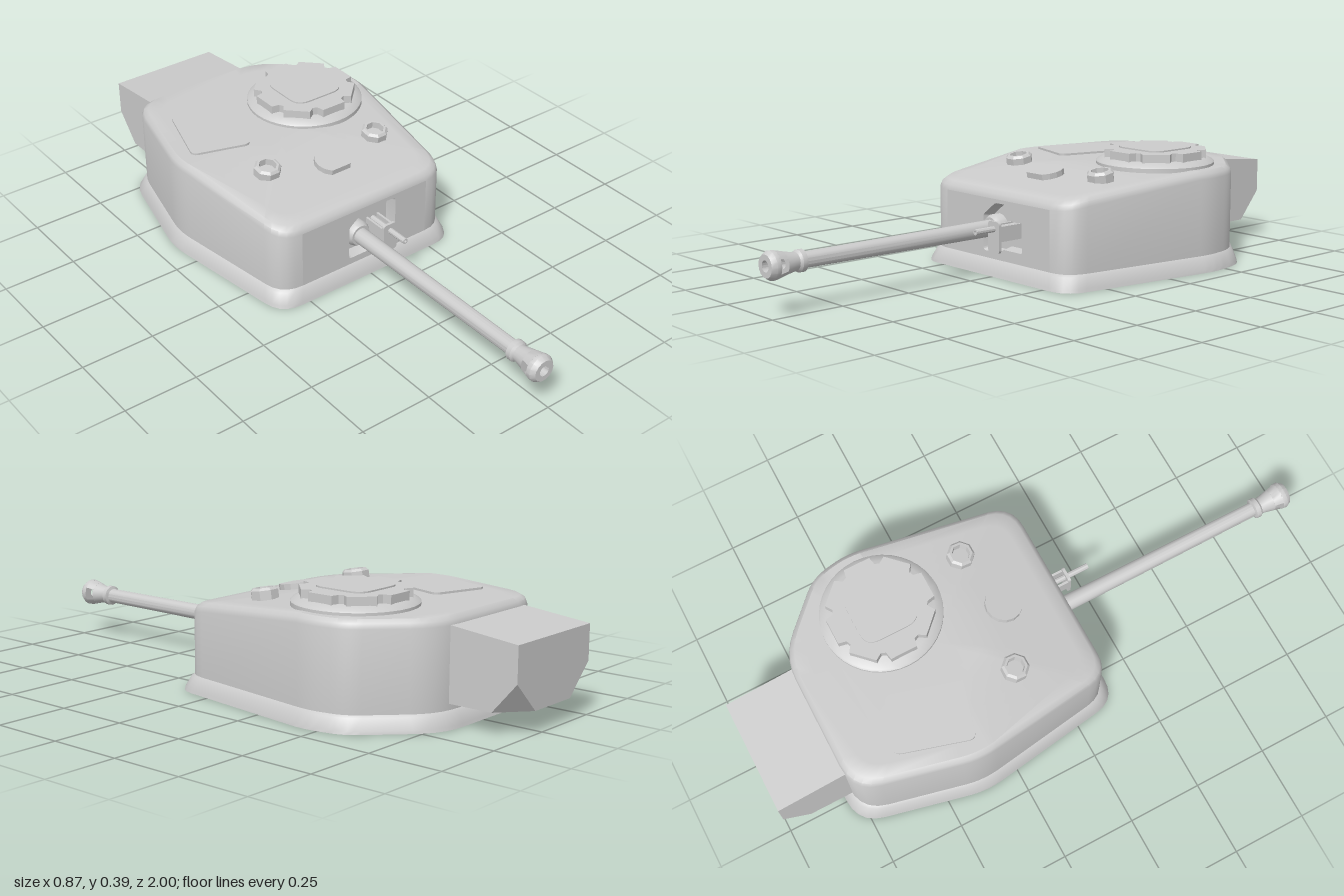
import * as THREE from 'three';
import { toCreasedNormals } from 'three/addons/utils/BufferGeometryUtils.js';
import { ConvexGeometry } from 'three/addons/geometries/ConvexGeometry.js';

const mat = new THREE.MeshStandardMaterial({ color: 0xcccccc });
const V = (x, y, z) => new THREE.Vector3(x, y, z);
const SLOPE = 0.165;
const roofY = (z) => 0.335 - Math.max(0, z + 0.2) * 0.167;

function add(parent, name, geometry, x = 0, y = 0, z = 0) {
  const mesh = new THREE.Mesh(geometry, mat);
  mesh.name = name;
  mesh.position.set(x, y, z);
  parent.add(mesh);
  return mesh;
}

// Skin closed rings of equal length; skip(layer, i) leaves a quad open
function loft(rings, crease, skip = () => false) {
  const n = rings[0].length, index = [];
  for (let l = 0; l < rings.length - 1; l++) {
    for (let i = 0; i < n; i++) {
      if (skip(l, i)) continue;
      const j = (i + 1) % n, a = l * n + i, b = l * n + j;
      index.push(a, b, b + n, a, b + n, a + n);
    }
  }
  const g = new THREE.BufferGeometry().setFromPoints(rings.flat());
  g.setIndex(index);
  return toCreasedNormals(g, crease);
}

// Turret footprint corners [x, z, fillet length]
const CORNERS = [
  [-0.335, -0.795, 0.09], [-0.437, -0.37, 0.06], [-0.362, 0.158, 0.08],
  [0.352, 0.158, 0.08], [0.438, -0.45, 0.05], [0.412, -0.585, 0.05], [0.2, -0.795, 0.09],
];
const K = 6;

// Footprint moved inward by d, with rounded corners, as [x, z] points
function footprint(d) {
  const m = CORNERS.length;
  const c = CORNERS.map(([x, z]) => new THREE.Vector2(x, z));
  const inner = c.map((p, i) => {
    const e1 = p.clone().sub(c[(i + m - 1) % m]).normalize();
    const e2 = c[(i + 1) % m].clone().sub(p).normalize();
    const n1 = new THREE.Vector2(e1.y, -e1.x), n2 = new THREE.Vector2(e2.y, -e2.x);
    return p.clone().addScaledVector(n1.clone().add(n2), d / (1 + n1.dot(n2)));
  });
  return inner.flatMap((p, i) => {
    const r = CORNERS[i][2];
    const toward = (q) => p.clone().add(q.clone().sub(p).setLength(r));
    const curve = new THREE.QuadraticBezierCurve(
      toward(inner[(i + m - 1) % m]), p, toward(inner[(i + 1) % m]));
    return curve.getPoints(K - 1);
  });
}

// Rounded polygon shape from [x, y] points
function roundedShape(pts, r) {
  const s = new THREE.Shape(), n = pts.length;
  pts.forEach((a, i) => {
    const p = new THREE.Vector2(...a);
    const toward = (q) => p.clone().add(new THREE.Vector2(...q).sub(p).setLength(r));
    const from = toward(pts[(i + n - 1) % n]), to = toward(pts[(i + 1) % n]);
    if (i) s.lineTo(from.x, from.y); else s.moveTo(from.x, from.y);
    s.quadraticCurveTo(p.x, p.y, to.x, to.y);
  });
  s.closePath();
  return s;
}

// Horizontal slab from a shape drawn in (x, -z)
const slab = (shape, h) =>
  new THREE.ExtrudeGeometry(shape, { depth: h, bevelEnabled: false, curveSegments: 6 }).rotateX(-Math.PI / 2);

// Lathe along +z from [radius, z] points
const turned = (pts, seg, start = 0, len = Math.PI * 2) => toCreasedNormals(
  new THREE.LatheGeometry(pts.map((p) => new THREE.Vector2(...p)), seg, start, len).rotateX(Math.PI / 2), 0.7);

function addBody(group) {
  const at = (d, y) => footprint(d).map((p) => V(p.x, y, p.y));
  const top = (d, drop, s = 1) => footprint(d).map((p) => {
    const z = -0.33 + (p.y + 0.33) * s;
    return V(p.x * s, roofY(z) - drop, z);
  });
  const rings = [
    at(0, 0).map(() => V(0, 0, -0.33)), at(0, 0), at(0.002, 0.01), at(0.018, 0.045), at(0.026, 0.052),
    top(0.026, 0.027), top(0.031, 0.011), top(0.045, 0),
    ...[0.9, 0.8, 0.7, 0.6, 0.45, 0.3, 0].map((s) => top(0.045, 0, s)),
  ];
  const open = 3 * K - 1; // flat front panel
  add(group, 'turretBody', loft(rings, 0.65, (l, i) => l === 4 && i === open));

  // Front panel with the gun opening
  const a = rings[4][open], b = rings[4][open + 1], c = rings[5][open + 1];
  const panel = new THREE.Shape([[a.x, a.y], [b.x, b.y], [b.x, c.y], [a.x, c.y]].map((p) => new THREE.Vector2(...p)));
  const opening = roundedShape([[-0.072, 0.075], [0.01, 0.075], [0.025, 0.09], [0.12, 0.09],
    [0.12, 0.24], [-0.012, 0.24], [-0.072, 0.195]], 0.01);
  const hole = opening.getPoints(4).slice(0, -1);
  panel.holes.push(new THREE.Path(hole));
  add(group, 'frontPanel', new THREE.ShapeGeometry(panel), 0, 0, a.z);
  const recess = (s, z) => hole.map((p) => V(0.024 + (p.x - 0.024) * s, 0.158 + (p.y - 0.158) * s, z));
  add(group, 'gunRecess', loft([recess(1, a.z), recess(0.89, a.z - 0.035), recess(0, a.z - 0.035)], 0.5));
}

function addBustle(group) {
  // Rear box with sloping top and clipped lower rear corners
  const pts = [];
  for (const [x, s] of [[-0.25, 1], [0.14, -1]]) {
    pts.push(V(x, 0.312, -0.74), V(x, 0.285, -1), V(x, 0.072, -0.74),
      V(x, 0.072, -0.915), V(x, 0.17, -1), V(x + s * 0.1, 0.072, -1));
  }
  add(group, 'rearBustle', new ConvexGeometry(pts));
}

function addGun(group) {
  const gun = new THREE.Group();
  gun.name = 'mainGun';
  gun.position.set(-0.03, 0.155, 0);
  group.add(gun);
  add(gun, 'gunCollar', turned([[0.044, 0.08], [0.044, 0.125], [0.036, 0.14], [0.026, 0.14]], 16));
  add(gun, 'barrel', turned([[0.028, 0.1], [0.025, 0.875]], 16));
  // Muzzle brake: rear cone, upper and lower bridges, front ring
  add(gun, 'muzzleCone', turned([[0.025, 0.868], [0.035, 0.872], [0.035, 0.888], [0.028, 0.895],
    [0.03, 0.91], [0.037, 0.94], [0.016, 0.94], [0.016, 0.9], [0, 0.9]], 16));
  const bridge = [[0.016, 0.94], [0.037, 0.94], [0.045, 0.972], [0.016, 0.972]];
  for (const start of [-Math.PI / 3, Math.PI * 2 / 3]) {
    const arc = add(gun, 'muzzleBridge', turned(bridge, 8, start, Math.PI * 2 / 3));
    arc.material = mat.clone();
    arc.material.side = THREE.DoubleSide;
  }
  add(gun, 'muzzleRing', turned([[0.018, 0.97], [0.045, 0.97], [0.046, 0.985], [0.036, 1],
    [0.018, 1], [0.018, 0.97]], 16));

  // Coaxial gun and its bracket
  const bracket = new THREE.Group();
  bracket.name = 'coaxialGun';
  bracket.position.set(0.05, 0, 0);
  group.add(bracket);
  add(bracket, 'coaxialBarrel', turned([[0.01, 0.1], [0.01, 0.27], [0.005, 0.27], [0.005, 0.25], [0, 0.25]], 10), 0, 0.17);
  const plate = roundedShape([[-0.027, 0.092], [0.027, 0.092], [0.027, 0.195], [-0.027, 0.195]], 0.012);
  add(bracket, 'bracketPlate', new THREE.ExtrudeGeometry(plate, { depth: 0.01, bevelEnabled: false }), 0, 0, 0.183);
  for (const s of [-1, 1]) add(bracket, 'bracketArm', new THREE.BoxGeometry(0.008, 0.05, 0.095), s * 0.022, 0.155, 0.138);
}

function addCupola(group) {
  const cupola = new THREE.Group();
  cupola.name = 'commanderCupola';
  cupola.position.set(0.165, 0.33, -0.43);
  group.add(cupola);
  const skirt = [[0.2, 0], [0.2, 0.014], [0.195, 0.019], [0.172, 0.03], [0, 0.03]].map((p) => new THREE.Vector2(...p));
  add(cupola, 'cupolaSkirt', toCreasedNormals(new THREE.LatheGeometry(skirt, 40), 0.5));
  // Ring of eight vision blocks
  const pts = [];
  for (let i = 0; i < 8; i++) {
    for (const [r, t] of [[0.152, -0.34], [0.176, -0.26], [0.176, 0.26], [0.152, 0.34]]) {
      const a = i * Math.PI / 4 + t;
      pts.push(new THREE.Vector2(r * Math.cos(a), r * Math.sin(a)));
    }
  }
  add(cupola, 'visionBlockRing', slab(new THREE.Shape(pts), 0.031), 0, 0.026);
  const h = 0.098;
  add(cupola, 'cupolaHatch', slab(roundedShape([[-h, -h], [h, -h], [h, h], [-h, h]], 0.05), 0.009), 0, 0.053);
}

function addRoofFittings(group) {
  const hatch = [[-0.35, 0.355], [-0.155, 0.295], [-0.088, 0.545], [-0.275, 0.605]];
  add(group, 'loaderHatch', slab(roundedShape(hatch, 0.025), 0.014), 0, 0.328);
  // Open octagonal periscope housings
  const tube = [[0.046, -0.01], [0.046, 0.022], [0.038, 0.03], [0.03, 0.03], [0.028, 0.008], [0, 0.008]]
    .map((p) => new THREE.Vector2(...p));
  for (const [x, z] of [[-0.2, -0.14], [0.225, -0.115]]) {
    const g = toCreasedNormals(new THREE.LatheGeometry(tube, 8, Math.PI / 8), 0.3);
    add(group, 'periscope', g, x, roofY(z), z).rotation.x = SLOPE;
  }
  // Ventilator cap with one flat side
  const cap = new THREE.Shape();
  cap.absarc(0, 0, 0.062, -Math.PI / 2 + 0.65, Math.PI * 1.5 - 0.65);
  cap.closePath();
  add(group, 'ventilatorCap', slab(cap, 0.027), 0.012, roofY(-0.07) - 0.008, -0.07).rotation.x = SLOPE;
}

export function createModel() {
  const group = new THREE.Group();
  group.name = 'turret';
  addBody(group);
  addBustle(group);
  addGun(group);
  addCupola(group);
  addRoofFittings(group);
  return group;
}
